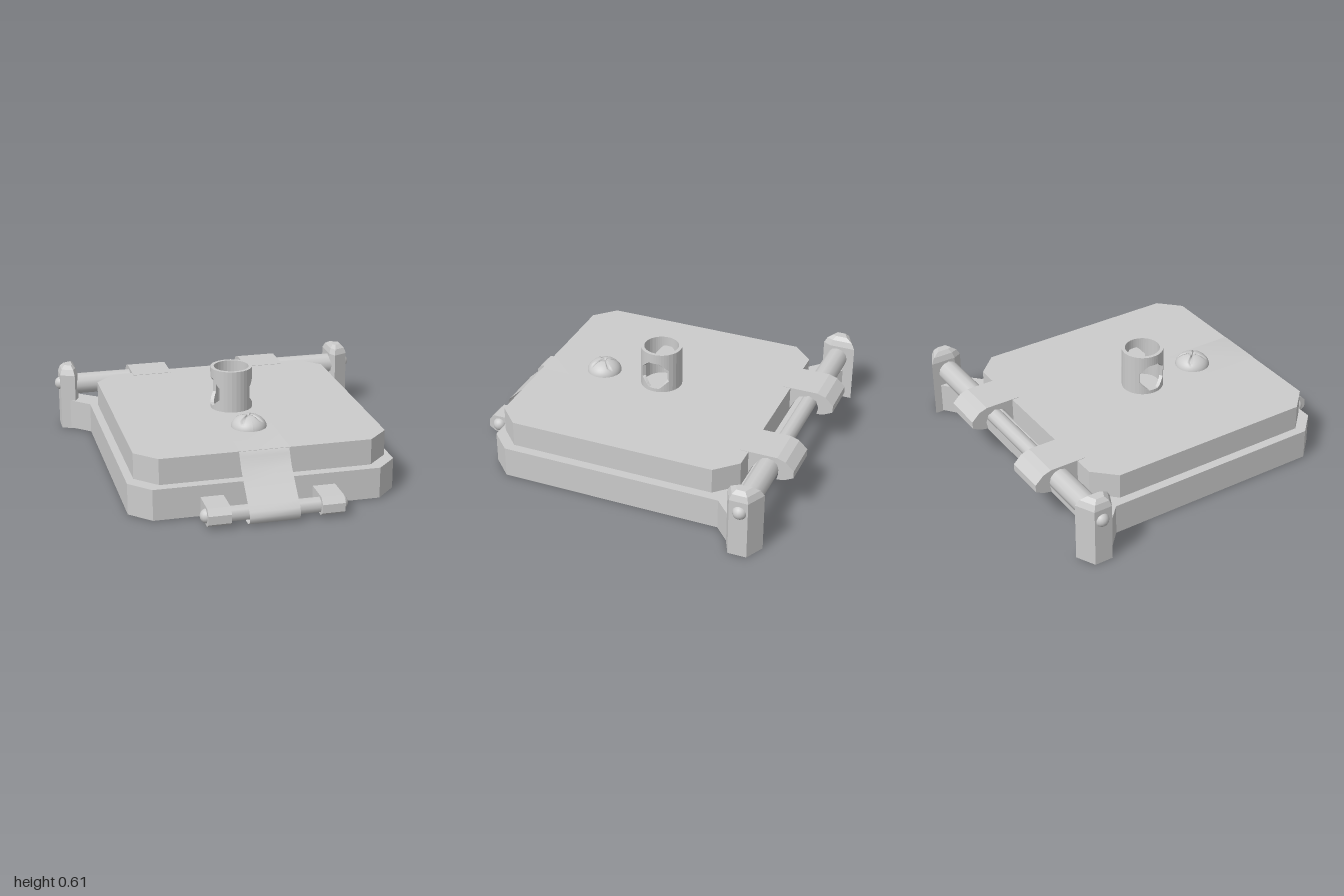
import * as THREE from 'three';
import { ConvexGeometry } from 'three/addons/geometries/ConvexGeometry.js';

const flat = new THREE.MeshStandardMaterial({ color: 0xcccccc, flatShading: true });
const smooth = new THREE.MeshStandardMaterial({ color: 0xcccccc });
const sheet = new THREE.MeshStandardMaterial({ color: 0xcccccc, side: THREE.DoubleSide });
const CX = -0.01; // the plates sit slightly off centre

export function createModel() {
  const model = new THREE.Group();
  const add = (name, geometry, material = flat) => {
    const mesh = new THREE.Mesh(geometry, material);
    mesh.name = name;
    model.add(mesh);
    return mesh;
  };
  const shapeOf = (pts) => new THREE.Shape(pts.map(([a, b]) => new THREE.Vector2(a, b)));

  // outline in (x, z) raised from y0 to y1
  const plate = (pts, y0, y1) =>
    new THREE.ExtrudeGeometry(shapeOf(pts.map(([x, z]) => [x, -z])), { depth: y1 - y0, bevelEnabled: false })
      .rotateX(-Math.PI / 2).translate(0, y0, 0);
  // side profile in (z, y) extruded along x
  const sideProfile = (pts, x0, x1) =>
    new THREE.ExtrudeGeometry(shapeOf(pts), { depth: x1 - x0, bevelEnabled: false })
      .rotateY(-Math.PI / 2).translate(x1, 0, 0);
  const rod = (name, r, x0, x1, y, z, sides) =>
    add(name, new THREE.CylinderGeometry(r, r, x1 - x0, sides)
      .rotateZ(Math.PI / 2).translate((x0 + x1) / 2, y, z), smooth);
  const pinHead = (x, y, z) =>
    add('pinHead', new THREE.SphereGeometry(0.042, 16, 12).translate(x, y, z), smooth);
  const mirrored = (half) => [
    ...half.map(([x, z]) => [CX + x, z]),
    ...half.slice().reverse().map(([x, z]) => [CX - x, z]),
  ];

  // base tray with diagonal arms at the back corners, and the lid on top
  add('base', plate(mirrored([
    [0.66, 0.79], [0.78, 0.67], [0.78, -0.66], [0.93, -0.8], [0.86, -0.91], [0.68, -0.77],
  ]), 0.005, 0.19));
  add('lidSeam', plate(mirrored([[0.61, 0.73], [0.72, 0.62], [0.72, -0.6], [0.61, -0.71]]), 0.185, 0.205));
  add('lid', plate(mirrored([[0.615, 0.75], [0.737, 0.63], [0.737, -0.605], [0.615, -0.73]]), 0.2, 0.353));

  // hinge posts with rounded tops, pin heads and thick outer rods
  const postPlan = [[0.845, -0.955], [0.957, -0.9], [0.957, -0.79], [0.87, -0.75], [0.845, -0.8]];
  for (const s of [-1, 1]) {
    const pts = [];
    for (const [y, k] of [[0, 1], [0.355, 1], [0.39, 0.8], [0.412, 0.45]]) {
      for (const [x, z] of postPlan) {
        pts.push(new THREE.Vector3(s * (0.9 + (x - 0.9) * k), y, -0.845 + (z + 0.845) * k));
      }
    }
    add('hingePost', new ConvexGeometry(pts));
    pinHead(s * 0.945, 0.285, -0.85);
    rod('outerHingeRod', 0.066, s > 0 ? 0.44 : -0.88, s > 0 ? 0.88 : -0.44, 0.275, -0.845, 12);
  }
  rod('hingeRod', 0.046, -0.5, 0.5, 0.275, -0.845, 12);

  // lid straps hooked over the hinge rod
  const hook = [
    [-0.68, 0.355], [-0.9, 0.355], [-0.95, 0.338], [-1, 0.29], [-1, 0.245], [-0.95, 0.22], [-0.9, 0.21],
    [-0.91, 0.255], [-0.895, 0.3], [-0.85, 0.325], [-0.79, 0.31], [-0.755, 0.26], [-0.73, 0.21], [-0.68, 0.21],
  ];
  for (const x of [-0.38, 0.36]) add('hingeStrap', sideProfile(hook, x - 0.122, x + 0.122));

  // front lugs holding the latch pin
  const lug = [[0.77, 0.01], [0.95, 0.01], [0.988, 0.035], [0.988, 0.085], [0.955, 0.12], [0.77, 0.12]];
  for (const s of [-1, 1]) {
    const x = CX + s * 0.325;
    add('latchLug', sideProfile(lug, x - 0.066, x + 0.066));
    pinHead(CX + s * 0.383, 0.063, 0.92);
  }
  rod('latchPin', 0.046, CX - 0.3, CX + 0.3, 0.062, 0.92, 8);

  // thin latch strap: over the lid, down the front, curled under the pin
  const strapPath = [
    [0.26, 0.36], [0.745, 0.36], [0.765, 0.325], [0.8, 0.265], [0.88, 0.185], [0.95, 0.118],
    [0.985, 0.085], [0.998, 0.055], [0.988, 0.022], [0.96, 0.004], [0.915, 0.002], [0.875, 0.02],
  ];
  const strap = new THREE.PlaneGeometry(0.29, 1, 1, strapPath.length - 1);
  const sp = strap.attributes.position;
  for (let i = 0; i < sp.count; i++) {
    // start from the far end so that the front faces look outward
    const [z, y] = strapPath[Math.floor(i / 2)];
    sp.setXYZ(i, sp.getX(i) - 0.025, y, z);
  }
  strap.computeVertexNormals();
  add('latchStrap', strap, sheet);

  // domed screw with a cross groove
  const dome = [];
  for (let i = 0; i <= 10; i++) {
    const a = (i / 10) * Math.PI / 2;
    dome.push(new THREE.Vector2(0.105 * Math.cos(a), 0.078 * Math.sin(a)));
  }
  const screw = new THREE.LatheGeometry(dome, 48);
  const dp = screw.attributes.position;
  for (let i = 0; i < dp.count; i++) {
    const x = dp.getX(i), z = dp.getZ(i), r = Math.hypot(x, z);
    const onDiagonal = Math.abs(Math.abs(x) - Math.abs(z)) < 0.004;
    if (r < 0.075 && onDiagonal) dp.setY(i, dp.getY(i) - 0.02);
  }
  screw.computeVertexNormals();
  add('screw', screw.translate(-0.02, 0.353, 0.388), smooth);

  // hollow knob with an octagonal hole bored along x
  const R = 0.125, inner = 0.104, holeR = 0.085, mid = 0.46, top = 0.605, bottom = 0.345;
  const holeHalf = (z) => Math.min(holeR, holeR * Math.SQRT2 - Math.abs(z));
  const a1 = Math.asin(holeR / R), stops = [];
  for (const centre of [0, Math.PI]) {
    stops.push([centre - a1, 0]);
    for (let i = 0; i <= 12; i++) {
      const a = -a1 + (2 * a1 * i) / 12;
      stops.push([centre + a, holeHalf(R * Math.sin(a))]);
    }
    stops.push([centre + a1, 0]);
    for (let i = 1; i < 8; i++) stops.push([centre + a1 + ((Math.PI - 2 * a1) * i) / 8, 0]);
  }
  stops.push([stops[0][0] + Math.PI * 2, 0]);
  const knob = new THREE.Group();
  knob.name = 'knob';
  for (const upper of [false, true]) {
    const section = ([a, h]) => {
      const y0 = upper ? mid + h : bottom, y1 = upper ? top : mid - h;
      return [[R, y0], [R, y1], [inner, y1], [inner, y0]]
        .map(([r, y]) => [r * Math.cos(a), y, r * Math.sin(a)]);
    };
    const pos = [];
    for (let i = 0; i + 1 < stops.length; i++) {
      const p = section(stops[i]), q = section(stops[i + 1]);
      for (let k = 0; k < 4; k++) {
        const n = (k + 1) % 4;
        for (const v of [p[k], p[n], q[n], p[k], q[n], q[k]]) pos.push(...v);
      }
    }
    const g = new THREE.BufferGeometry();
    g.setAttribute('position', new THREE.Float32BufferAttribute(pos, 3));
    g.computeVertexNormals();
    const wall = new THREE.Mesh(g, flat);
    wall.name = upper ? 'knobUpperWall' : 'knobLowerWall';
    knob.add(wall);
  }
  knob.position.set(-0.032, 0, 0.014);
  model.add(knob);

  return model;
}
